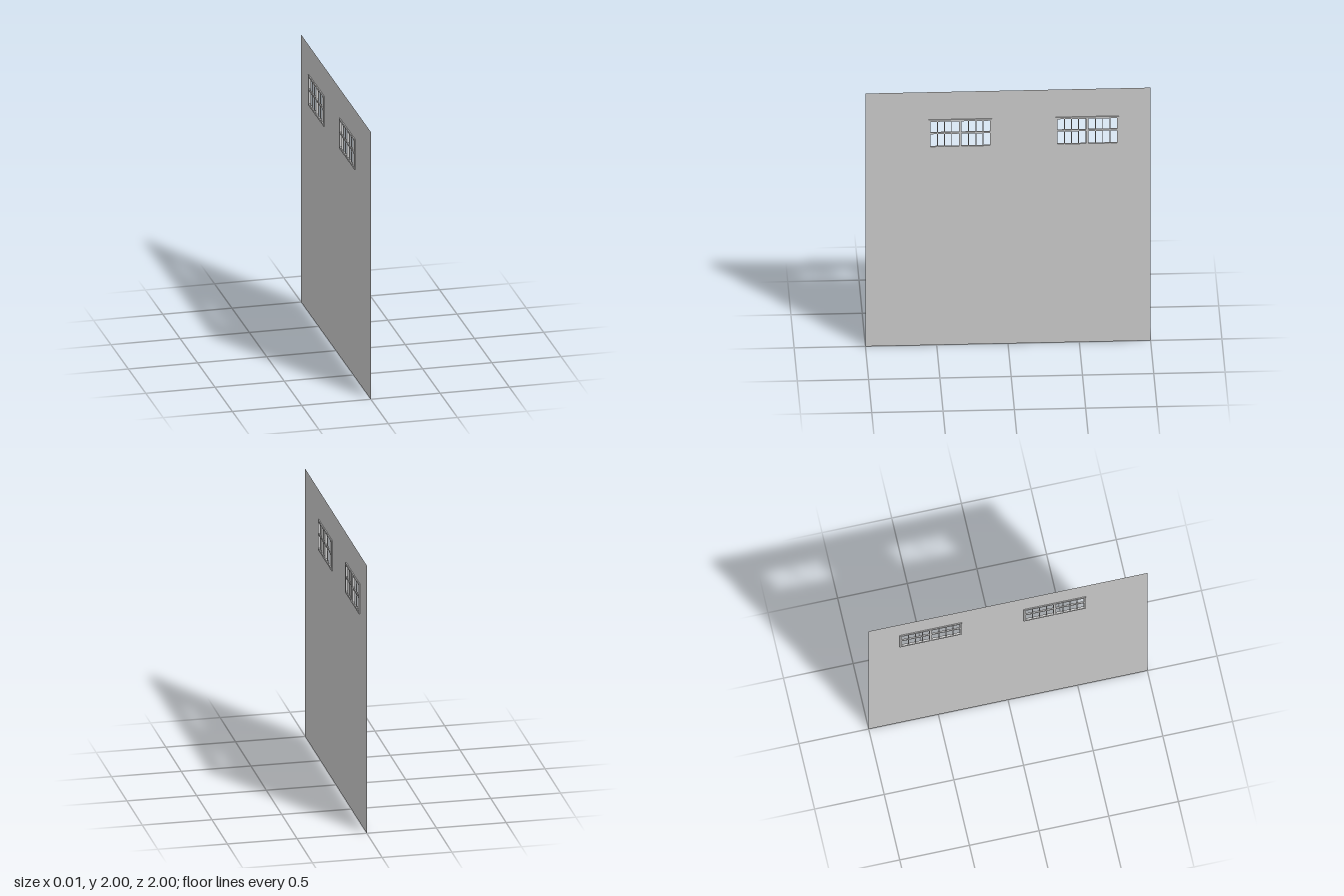
import * as THREE from 'three';

const W = 0.446, H = 0.225, BORDER = 0.014, DEPTH = 0.015; // window frame
const WINDOW_Y = 1.67, WINDOW_Z = [0.335, -0.555];

const material = new THREE.MeshStandardMaterial({ color: 0xcccccc, side: THREE.DoubleSide, flatShading: true });

function rect(Type, cx, cy, w, h) {
  return new Type([[-1, -1], [1, -1], [1, 1], [-1, 1]].map(
    ([sx, sy]) => new THREE.Vector2(cx + sx * w / 2, cy + sy * h / 2)));
}

function addMesh(parent, name, geometry, x = 0, y = 0) {
  const mesh = new THREE.Mesh(geometry, material);
  mesh.name = name;
  mesh.position.set(x, y, 0);
  parent.add(mesh);
}

function createWindow() {
  const group = new THREE.Group();
  group.name = 'window';
  const innerW = W - 2 * BORDER, innerH = H - 2 * BORDER;

  // Outer frame
  const outline = rect(THREE.Shape, 0, 0, W, H);
  outline.holes.push(rect(THREE.Path, 0, 0, innerW, innerH));
  const frame = new THREE.ExtrudeGeometry(outline, { depth: DEPTH, bevelEnabled: false });
  addMesh(group, 'windowFrame', frame.translate(0, 0, -DEPTH / 2));

  // Centre post and cross rail
  const post = 0.019, rail = 0.013;
  addMesh(group, 'centrePost', new THREE.BoxGeometry(post, innerH, DEPTH));
  const sashW = (innerW - post) / 2;
  for (const side of [-1, 1]) {
    const sashX = side * (post + sashW) / 2;
    addMesh(group, 'crossRail', new THREE.BoxGeometry(sashW, rail, DEPTH * 0.7), sashX, 0.006);
    // Three thin glazing bars per sash
    for (const i of [-1, 0, 1]) {
      addMesh(group, 'glazingBar', new THREE.BoxGeometry(0.006, innerH, DEPTH * 0.5), sashX + i * sashW / 4);
    }
  }
  return group;
}

export function createModel() {
  const model = new THREE.Group();
  model.name = 'wallWithWindows';

  // Everything is laid out in the XY plane, then turned to face +x
  const panel = new THREE.Group();
  panel.name = 'wallPanel';
  panel.rotation.y = Math.PI / 2;
  model.add(panel);

  // Thin wall with window openings
  const wall = rect(THREE.Shape, 0, 1, 2, 2);
  for (const z of WINDOW_Z) {
    wall.holes.push(rect(THREE.Path, -z, WINDOW_Y, W, H));
    const unit = createWindow();
    unit.position.set(-z, WINDOW_Y, 0);
    panel.add(unit);
  }
  addMesh(panel, 'wall', new THREE.ShapeGeometry(wall));
  return model;
}
